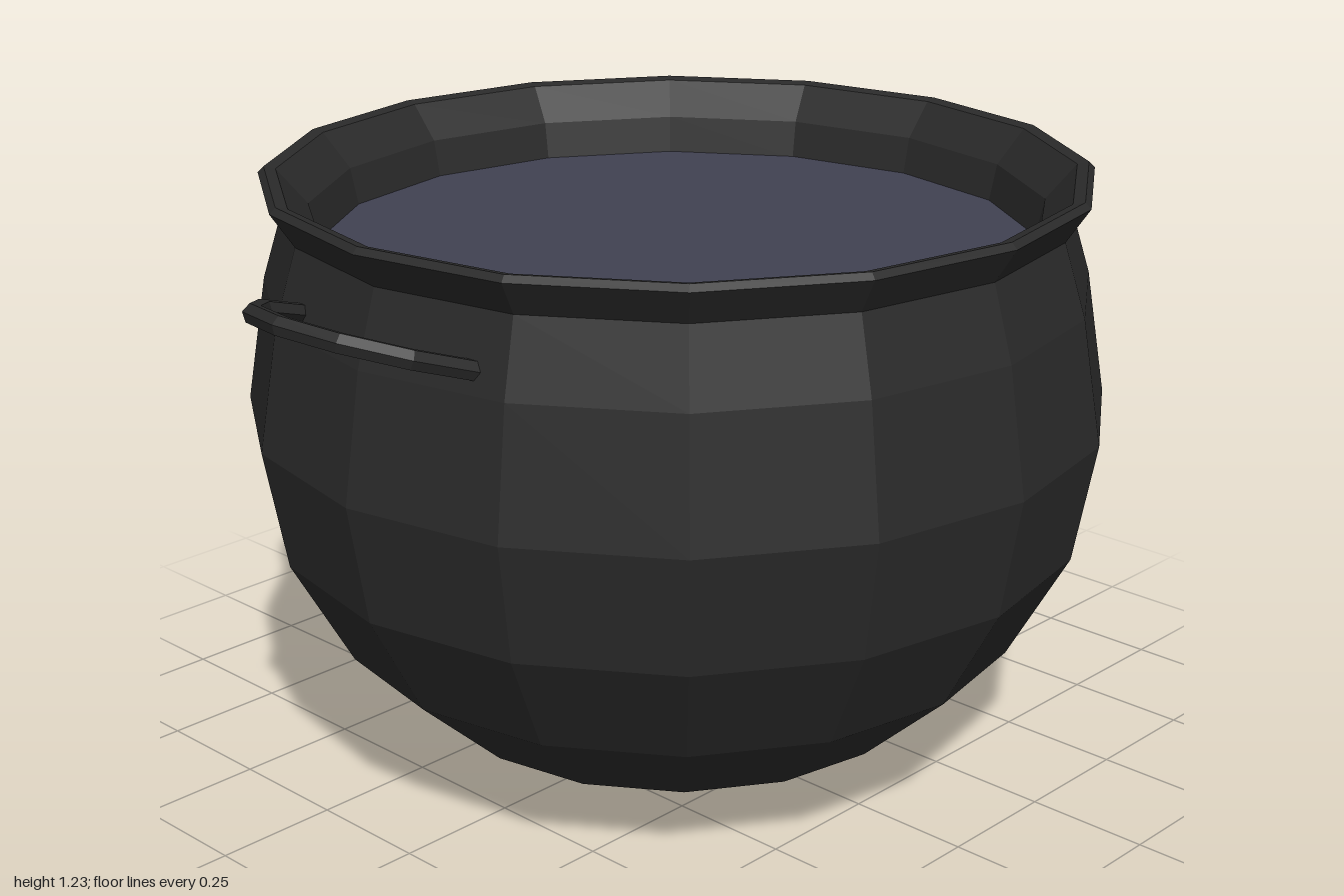
import * as THREE from 'three';

const SIDES = 16;
const iron = new THREE.MeshStandardMaterial({ color: 0x2a2a2a, flatShading: true });
const brew = new THREE.MeshStandardMaterial({ color: 0x404152, flatShading: true });

// Tilted half loop standing out from the +x side
class HandleCurve extends THREE.Curve {
  getPoint(t, target = new THREE.Vector3()) {
    const a = Math.PI * t;
    return target.set(0.755 + 0.227 * Math.sin(a), 1.04 + 0.08 * Math.sin(a), 0.235 * Math.cos(a));
  }
}

function mesh(name, geometry, material) {
  const m = new THREE.Mesh(geometry, material);
  m.name = name;
  return m;
}

function lathe(name, points) {
  const profile = points.map(([r, y]) => new THREE.Vector2(r, y));
  return mesh(name, new THREE.LatheGeometry(profile, SIDES), iron);
}

function handle(name) {
  const group = new THREE.Group();
  group.name = name;
  const curve = new HandleCurve();
  const radius = 0.02;
  group.add(mesh(name + 'Bar', new THREE.TubeGeometry(curve, 6, radius, 6), iron));
  // Close both ends of the bar
  for (const t of [0, 1]) {
    const cap = mesh(name + 'End', new THREE.CircleGeometry(radius, 6), iron);
    const outward = curve.getTangentAt(t).multiplyScalar(t === 0 ? -1 : 1);
    cap.position.copy(curve.getPoint(t));
    cap.quaternion.setFromUnitVectors(new THREE.Vector3(0, 0, 1), outward);
    group.add(cap);
  }
  return group;
}

export function createModel() {
  const model = new THREE.Group();
  model.name = 'cauldron';

  // Round belly with a flat bottom
  model.add(lathe('belly', [
    [0, 0], [0.27, 0], [0.51, 0.115], [0.7, 0.29], [0.82, 0.51],
    [0.862, 0.75], [0.82, 1.0], [0.775, 1.145],
  ]));

  // Flared rim, sloping inside down to the neck
  model.add(lathe('rim', [
    [0.775, 1.145], [0.82, 1.213], [0.808, 1.225], [0.785, 1.22],
    [0.725, 1.15], [0.708, 1.07],
  ]));

  // Liquid surface
  const liquid = mesh('liquid', new THREE.CircleGeometry(0.71, SIDES), brew);
  liquid.rotation.x = -Math.PI / 2;
  liquid.position.y = 1.075;
  model.add(liquid);

  // One handle on each side
  const left = handle('leftHandle');
  const right = handle('rightHandle');
  right.rotation.y = Math.PI;
  model.add(left, right);

  return model;
}
